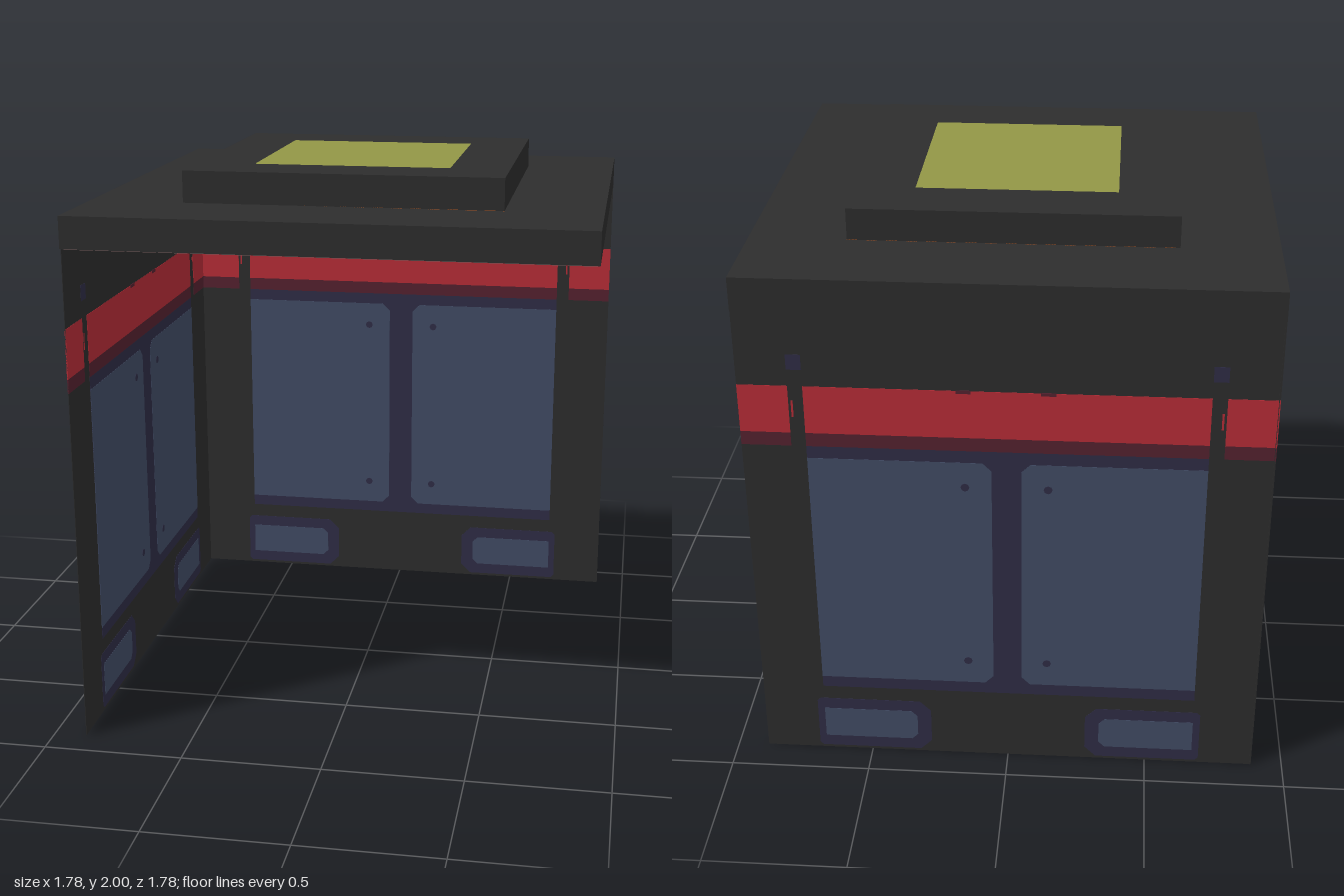
import * as THREE from 'three';

const mat = (name, color) => {
  const m = new THREE.MeshStandardMaterial({ color });
  m.name = name;
  return m;
};

export function createModel() {
  const charcoal = mat('charcoal', 0x2d2d2d);
  const navy = mat('navy', 0x2f2d46);
  const blue = mat('slate blue', 0x424c66);
  const red = mat('red', 0xb92d37);
  const darkRed = mat('dark red', 0x562230);
  const olive = mat('olive', 0x929746);
  const brown = mat('brown', 0x7c6060);
  const orange = mat('orange', 0xb85a24);

  const model = new THREE.Group();
  model.name = 'booth';
  const U = 1 / 9;          // one step of the design grid
  const HALF = 8 * U, LID = 5 * U, LAMP = 0.347;

  const add = (parent, name, geometry, material) => {
    const mesh = new THREE.Mesh(geometry, material);
    mesh.name = name;
    parent.add(mesh);
    return mesh;
  };

  // Plate centred on the wall plane, so it shows on both sides.
  // cut chamfers the corners on the x0 side, cutOuter those on the x1 side.
  function plate(parent, name, material, x0, x1, y0, y1, layer, cut = 0, cutOuter = 0) {
    const depth = 0.002 + layer * 0.002;
    const d = Math.sign(x1 - x0), a = cut * d, b = cutOuter * d;
    const pts = [[x0 + a, y0], [x1 - b, y0]];
    if (cutOuter) pts.push([x1, y0 + cutOuter], [x1, y1 - cutOuter]);
    pts.push([x1 - b, y1], [x0 + a, y1]);
    if (cut) pts.push([x0, y1 - cut], [x0, y0 + cut]);
    const shape = new THREE.Shape(pts.map(p => new THREE.Vector2(...p)));
    const g = new THREE.ExtrudeGeometry(shape, { depth, bevelEnabled: false });
    return add(parent, name, g.translate(0, 0, -depth / 2), material);
  }

  // Wall with doors, windows and the red sign band
  function wall(name) {
    const w = new THREE.Group();
    w.name = name;
    const face = new THREE.Group();
    face.position.z = -HALF + 0.005;
    w.add(face);
    plate(face, 'wallSheet', charcoal, -HALF, HALF, 0, 16 * U, 0);
    plate(face, 'doorFrame', navy, -0.67, 0.67, 0.28, 1.28, 1);
    plate(face, 'signBand', red, -0.67, 0.67, 1.33, 1.505, 1);
    plate(face, 'signShade', darkRed, -0.67, 0.67, 1.28, 1.33, 1);
    for (const s of [-1, 1]) {
      plate(face, 'doorPanel', blue, s * 0.05, s * 0.67, 0.325, 1.235, 2, 0.03);
      plate(face, 'windowFrame', navy, s * 0.28, s * 0.695, 0.01, 0.225, 1, 0.04, 0.012);
      plate(face, 'lowerWindow', blue, s * 0.33, s * 0.67, 0.055, 0.18, 2, 0.022);
      plate(face, 'endBand', red, s * 0.72, s * HALF, 1.33, 1.505, 1);
      plate(face, 'endShade', darkRed, s * 0.72, s * HALF, 1.28, 1.33, 1);
      plate(face, 'bandMark', red, s * 0.705, s * 0.712, 1.39, 1.45, 1);
      plate(face, 'postStud', navy, s * 0.67, s * 0.72, 1.565, 1.62, 1);
      plate(face, 'signNotch', darkRed, s * 0.115, s * 0.165, 1.495, 1.507, 2);
      for (const y of [0.42, 1.14]) {
        const bolt = add(face, 'doorBolt', new THREE.CylinderGeometry(0.015, 0.015, 0.009, 8), navy);
        bolt.rotation.x = Math.PI / 2;
        bolt.position.set(s * 0.14, y, 0);
      }
    }
    model.add(w);
    return w;
  }
  wall('backWall');
  wall('rightWall').rotation.y = Math.PI / 2;

  // Square ring lying flat, from height y0 upward
  function ring(name, material, outer, inner, y0, height) {
    const square = (C, h) => new C([[-h, -h], [h, -h], [h, h], [-h, h]].map(p => new THREE.Vector2(...p)));
    const shape = square(THREE.Shape, outer);
    shape.holes.push(square(THREE.Path, inner));
    const g = new THREE.ExtrudeGeometry(shape, { depth: height, bevelEnabled: false });
    return add(model, name, g.rotateX(-Math.PI / 2).translate(0, y0, 0), material);
  }

  // Stepped hollow roof with coloured undersides
  ring('roofSlab', charcoal, HALF, LID, 16 * U, U);
  ring('roofCeiling', brown, HALF - 0.008, LID, 16 * U - 0.003, 0.004);
  ring('roofLid', charcoal, LID, LAMP, 17 * U, U);
  ring('lidCeiling', orange, LID, LAMP, 17 * U - 0.003, 0.004);
  ring('lampLining', red, LAMP, LAMP - 0.004, 17 * U, U - 0.006);
  add(model, 'lampPane', new THREE.BoxGeometry(2 * LAMP, 0.006, 2 * LAMP), olive).position.y = 1.997;

  return model;
}
